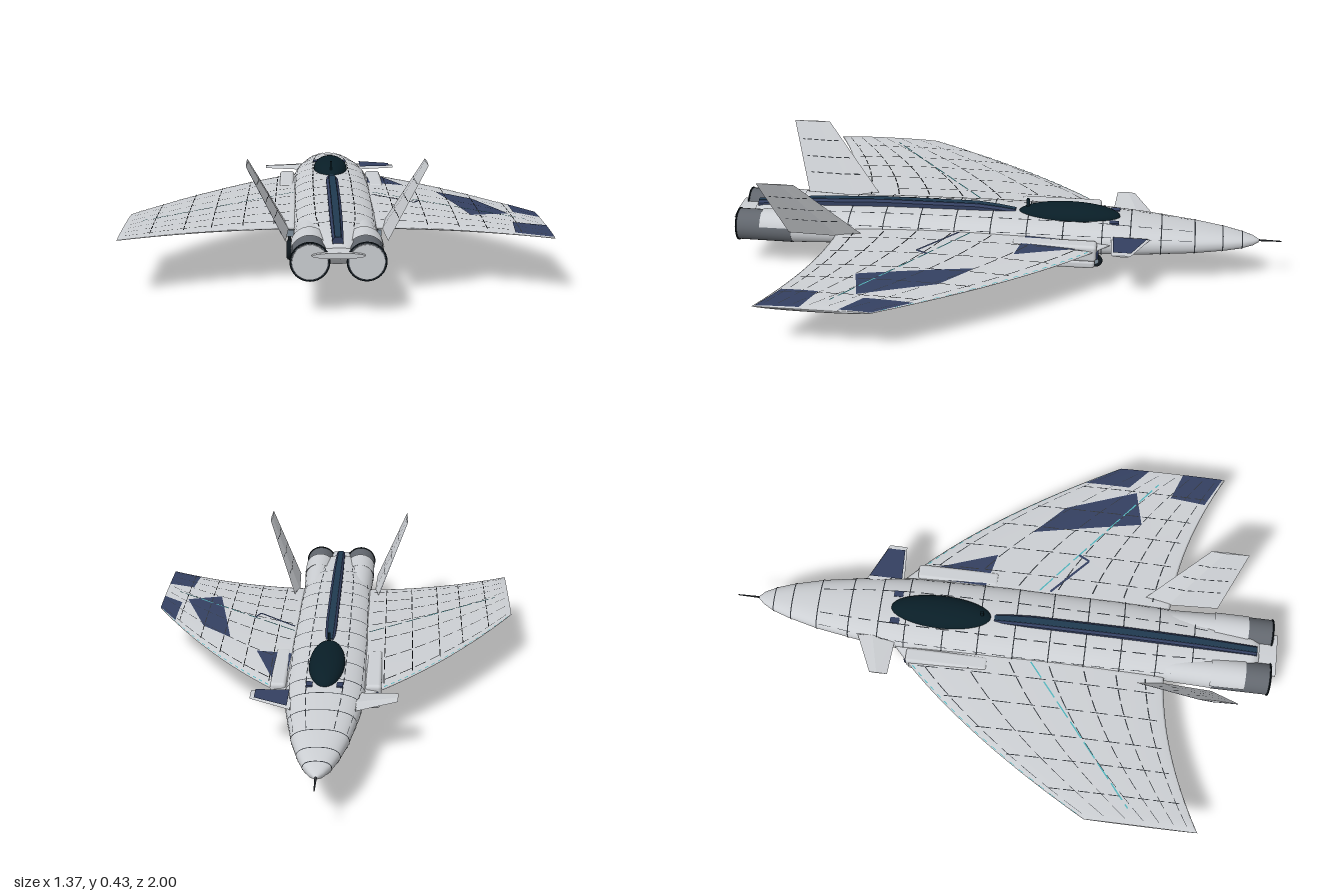
import * as THREE from 'three';
import { mergeGeometries } from 'three/addons/utils/BufferGeometryUtils.js';
import { RoundedBoxGeometry } from 'three/addons/geometries/RoundedBoxGeometry.js';

const V = (x, y, z) => new THREE.Vector3(x, y, z);
const lerp = THREE.MathUtils.lerp;

const mat = (name, color, side = THREE.FrontSide) => {
  const m = new THREE.MeshStandardMaterial({ color, side });
  m.name = name;
  return m;
};

// Skin through equal-length closed loops of points, with both ends capped
function loft(loops, flat = false) {
  const n = loops[0].length, pos = [], idx = [];
  loops.forEach(l => l.forEach(p => pos.push(p.x, p.y, p.z)));
  for (let i = 0; i < loops.length - 1; i++) for (let j = 0; j < n; j++) {
    const a = i * n + j, b = i * n + (j + 1) % n;
    idx.push(a, b, a + n, b, b + n, a + n);
  }
  const last = (loops.length - 1) * n;
  for (let j = 1; j < n - 1; j++) idx.push(0, j + 1, j, last, last + j, last + j + 1);
  let g = new THREE.BufferGeometry();
  g.setAttribute('position', new THREE.Float32BufferAttribute(pos, 3));
  g.setIndex(idx);
  if (flat) g = g.toNonIndexed();
  g.computeVertexNormals();
  return g;
}

// Mirror across x = 0, keeping faces outward
function mirror(geo) {
  const g = geo.index ? geo.toNonIndexed() : geo.clone();
  g.scale(-1, 1, 1);
  for (const a of Object.values(g.attributes)) {
    for (let i = 0; i < a.count; i += 3) for (let k = 0; k < a.itemSize; k++) {
      const t = a.getComponent(i + 1, k);
      a.setComponent(i + 1, k, a.getComponent(i + 2, k));
      a.setComponent(i + 2, k, t);
    }
  }
  return g;
}

// Sheet from f(u, v); skip leaves gaps for dashed lines
function sheet(f, nu, nv = 1, skip = 0) {
  const pos = [];
  for (let i = 0; i < nu; i++) {
    if (skip && i % skip === skip - 1) continue;
    for (let j = 0; j < nv; j++) {
      const q = [[0, 0], [0, 1], [1, 0], [0, 1], [1, 1], [1, 0]];
      q.forEach(([a, b]) => pos.push(...f((i + a) / nu, (j + b) / nv).toArray()));
    }
  }
  const g = new THREE.BufferGeometry();
  g.setAttribute('position', new THREE.Float32BufferAttribute(pos, 3));
  g.computeVertexNormals();
  return g;
}

// Fuselage stations: z, half width, bottom, top
const stations = [
  [-0.92, 0.005, 0.16, 0.171], [-0.9, 0.024, 0.151, 0.181], [-0.86, 0.045, 0.142, 0.19],
  [-0.8, 0.066, 0.135, 0.2], [-0.69, 0.094, 0.127, 0.212], [-0.5, 0.125, 0.118, 0.228],
  [-0.35, 0.138, 0.114, 0.238], [0, 0.145, 0.112, 0.24], [0.4, 0.142, 0.112, 0.235],
  [0.6, 0.135, 0.114, 0.228], [0.78, 0.11, 0.12, 0.22], [0.9, 0.07, 0.14, 0.213], [0.93, 0.04, 0.16, 0.205]];
function hull(z, a, grow = 0) {
  let i = 0;
  while (i < stations.length - 2 && z > stations[i + 1][0]) i++;
  const p = stations[i], q = stations[i + 1], t = (z - p[0]) / (q[0] - p[0]);
  const [w, b, h] = [1, 2, 3].map(k => lerp(p[k], q[k], t));
  const c = Math.cos(a), s = Math.sin(a), pw = v => Math.sign(v) * Math.abs(v) ** 0.85;
  return V((w + grow) * pw(c), (b + h) / 2 + ((h - b) / 2 + grow) * pw(s), z);
}

// Wing planform and skin
const ROOT = 0.1, TIP = 0.685;
const span = x => (x - ROOT) / (TIP - ROOT);
const lead = x => -0.42 + 0.5 * span(x) + 0.28 * span(x) ** 2;
const trail = x => 0.595 + 0.165 * span(x) ** 1.9;
function wingPoint(x, t, up, lift = 0) {
  const bulge = Math.max(0, 4 * t * (1 - t)) ** 0.6, thin = 1 - span(x);
  const y = up ? 0.183 + (0.006 + 0.017 * thin) * bulge : 0.183 - (0.008 + 0.03 * thin) * bulge;
  return V(x, y + lift, lerp(lead(x), trail(x), t));
}
const onWing = (x, z, lift) =>
  wingPoint(x, THREE.MathUtils.clamp((z - lead(x)) / (trail(x) - lead(x)), 0, 1), true, lift);
const wingPatch = ([a, b, c, d]) => sheet((u, v) => {
  const at = k => lerp(lerp(a[k], b[k], u), lerp(d[k], c[k], u), v);
  return onWing(at(0), at(1), 0.002);
}, 12, 12);
const wingLine = (a, b, w, skip) => {
  const d = new THREE.Vector2(a[1] - b[1], b[0] - a[0]).normalize().multiplyScalar(w);
  return sheet((u, v) => onWing(lerp(a[0], b[0], u) + d.x * (v - 0.5), lerp(a[1], b[1], u) + d.y * (v - 0.5), 0.003), 36, 1, skip);
};

export function createModel() {
  const model = new THREE.Group();
  model.name = 'jetAircraft';
  const two = THREE.DoubleSide;
  const grey = mat('lightGrey', 0xcccfd3, two), blue = mat('navyBlue', 0x344061, two);
  const glass = mat('canopyGlass', 0x091e27), steel = mat('nozzleSteel', 0x62676e);
  const lines = mat('panelLine', 0x303439, two), cyan = mat('cyanLine', 0x52b4bc, two);
  const black = mat('tyreBlack', 0x10191f), hub = mat('hubGrey', 0x7f8f9c);
  const deep = mat('deepTeal', 0x203a50);
  const add = (name, geo, m) => {
    const mesh = new THREE.Mesh(geo, m);
    mesh.name = name;
    model.add(mesh);
  };
  const pair = (name, geo, m) => { add(name + 'Left', geo, m); add(name + 'Right', mirror(geo), m); };
  const cyl = (r1, r2, len, x, y, z, seg = 28) =>
    new THREE.CylinderGeometry(r1, r2, len, seg).rotateX(Math.PI / 2).translate(x, y, z);
  const box = (w, h, d, x, y, z) => new THREE.BoxGeometry(w, h, d).translate(x, y, z);

  // Fuselage, nose probe, spine and canopy
  add('fuselage', loft(stations.map(s => Array.from({ length: 40 }, (_, j) => hull(s[0], j / 40 * Math.PI * 2)))), grey);
  add('noseProbe', cyl(0.004, 0.002, 0.09, 0, 0.167, -0.955, 8), lines);
  const spine = [[-0.04, 0.016, 0.243], [0.02, 0.019, 0.252], [0.1, 0.021, 0.26], [0.45, 0.021, 0.258], [0.7, 0.02, 0.246], [0.92, 0.017, 0.226]];
  const spineLoops = (k, low, lift) => spine.map(([z, w, top]) => [V(w * k, low ?? top - 0.002, z), V(w * k, top - 0.008 * (low ? 1 : 0) + lift, z),
    V(w * k * 0.6, top + lift, z), V(-w * k * 0.6, top + lift, z), V(-w * k, top - 0.008 * (low ? 1 : 0) + lift, z), V(-w * k, low ?? top - 0.002, z)]);
  add('spine', loft(spineLoops(1, 0.19, 0), true), blue);
  add('spineStripe', loft(spineLoops(0.55, null, 0.0015), true), deep);
  add('canopy', new THREE.SphereGeometry(1, 32, 20).scale(0.063, 0.041, 0.185).translate(0, 0.233, -0.235), glass);
  add('antenna', box(0.008, 0.035, 0.012, 0, 0.268, -0.085), glass);
  pair('sensorPlate', box(0.022, 0.008, 0.034, 0.052, 0.232, -0.4), blue);

  // Wings
  const wingLoops = Array.from({ length: 15 }, (_, i) => {
    const x = lerp(ROOT, TIP, i / 14), loop = [];
    const ease = k => (1 - Math.cos(k / 16 * Math.PI)) / 2;
    for (let k = 0; k <= 16; k++) loop.push(wingPoint(x, ease(k), true));
    for (let k = 15; k > 0; k--) loop.push(wingPoint(x, ease(k), false));
    return loop;
  });
  pair('wing', loft(wingLoops), grey);

  // Wing panel lines and bright seams
  const seams = [0.2, 0.3, 0.4, 0.487, 0.59].map(x => wingLine([x, lead(x) + 0.03], [x, trail(x) - 0.01], 0.003, 4));
  for (const t of [0.06, 0.24, 0.42, 0.57, 0.7, 0.82, 0.93])
    seams.push(sheet((u, v) => wingPoint(lerp(0.15, 0.68, u), t + (v - 0.5) * 0.005, true, 0.003), 40, 1, 4));
  pair('wingPanelLines', mergeGeometries(seams), lines);
  const leadSeam = sheet((u, v) => wingPoint(lerp(0.2, 0.68, u), 0.012 + (v - 0.5) * 0.006, true, 0.002), 40, 1, 2);
  pair('wingSeam', mergeGeometries([wingLine([0.14, 0.11], [0.63, 0.51], 0.005, 5), leadSeam]), cyan);

  // Painted patches on the left wing only
  [[[0.375, 0.06], [0.49, 0.17], [0.585, 0.43], [0.455, 0.46]],
    [[0.608, 0.235], [0.684, 0.362], [0.684, 0.47], [0.605, 0.4]],
    [[0.58, 0.56], [0.684, 0.6], [0.684, 0.75], [0.57, 0.69]],
    [[0.14, -0.27], [0.19, -0.28], [0.265, -0.06], [0.135, -0.09]]]
    .forEach((q, i) => add('wingPatch' + (i + 1), wingPatch(q), blue));
  add('wingStroke', mergeGeometries([wingLine([0.14, 0.15], [0.28, 0.28], 0.008), wingLine([0.28, 0.28], [0.3, 0.24], 0.008)]), blue);

  // Fuselage panel lines
  const bands = [-0.86, -0.79, -0.69, -0.57, -0.46, -0.36, -0.22, -0.09, 0.04, 0.17, 0.3, 0.43, 0.56, 0.69]
    .map(z => sheet((u, v) => hull(z + (v - 0.5) * 0.004, u * Math.PI * 2, 0.0015), 40));
  for (const a of [0.5, 1.15, Math.PI - 1.15, Math.PI - 0.5])
    bands.push(sheet((u, v) => hull(lerp(-0.68, 0.76, u), a + (v - 0.5) * 0.03, 0.0015), 60, 1, 3));
  add('fuselagePanelLines', mergeGeometries(bands), lines);

  // Canards, the left one painted
  const slab = (root, tip, h) => loft([root, tip].map(([x, y, z0, z1], i) =>
    [V(x, y, z0), V(x, y + h / (1 + i), lerp(z0, z1, 0.4)), V(x, y, z1), V(x, y - h / (1 + i), lerp(z0, z1, 0.4))]), true);
  pair('canard', slab([0.09, 0.2, -0.54, -0.39], [0.25, 0.206, -0.465, -0.4], 0.007), grey);
  add('canardPaint', sheet((u, v) => V(lerp(0.12, 0.235, u), lerp(0.211, 0.2125, u), lerp(lerp(-0.522, -0.468, u), lerp(-0.4, -0.405, u), v)), 4, 4), blue);

  // Outward-leaning tail fins, the right one painted on its outer face
  const finLoop = (x, y, z0, z1, w) => [V(x, y, z0), V(x + w, y, lerp(z0, z1, 0.35)), V(x, y, z1), V(x - w, y, lerp(z0, z1, 0.35))];
  pair('tailFin', loft([finLoop(0.277, 0.43, 0.705, 0.84, 0.003), finLoop(0.16, 0.18, 0.49, 0.77, 0.008)], true), grey);
  const finFace = (k, t, off) => V(lerp(0.16, 0.277, k) + off * lerp(0.008, 0.003, k) * Math.min(t / 0.35, (1 - t) / 0.65) + Math.sign(off) * 0.0012,
    lerp(0.18, 0.43, k), lerp(lerp(0.49, 0.705, k), lerp(0.77, 0.84, k), t));
  add('finPaintRight', mirror(sheet((u, v) => finFace(lerp(0.08, 0.99, u), lerp(0.01, 0.99, v), 1), 4, 20)), blue);
  const finSeams = [0.3, 0.52, 0.75].flatMap(k => [-1, 1].map(s =>
    sheet((u, v) => finFace(k + (v - 0.5) * 0.014, lerp(0.1, 0.9, u), s * 1.2), 16, 1, 3)));
  pair('finPanelLines', mergeGeometries(finSeams), lines);

  // Engines with an upper cowl, steel nozzle and pale exhaust disc
  pair('engineBody', cyl(0.057, 0.05, 0.2, 0.085, 0.165, 0.68), grey);
  pair('engineNozzle', cyl(0.057, 0.058, 0.205, 0.085, 0.165, 0.873), steel);
  const cowl = new THREE.CylinderGeometry(0.0605, 0.0605, 0.125, 24, 1, true, -Math.PI * 0.4, Math.PI * 0.8)
    .rotateX(Math.PI / 2).rotateZ(Math.PI).translate(0.085, 0.165, 0.823);
  pair('engineCowl', cowl, grey);
  pair('nozzleRing', new THREE.TorusGeometry(0.058, 0.003, 6, 32).translate(0.085, 0.165, 0.974), black);
  pair('exhaustDisc', cyl(0.053, 0.053, 0.006, 0.085, 0.165, 0.976), grey);
  add('tailPlate', new THREE.CylinderGeometry(1, 1, 0.25, 28).rotateX(Math.PI / 2).scale(0.08, 0.009, 1).translate(0, 0.187, 0.87), grey);

  // Intake fairings and long underside pods
  pair('underPod', new RoundedBoxGeometry(0.05, 0.032, 0.44, 3, 0.012).translate(0.165, 0.13, -0.12), grey);
  pair('intakeFairing', new RoundedBoxGeometry(0.055, 0.062, 0.3, 3, 0.012).translate(0.165, 0.174, -0.195), grey);
  pair('intakeLip', new RoundedBoxGeometry(0.036, 0.034, 0.02, 2, 0.006).translate(0.165, 0.165, -0.342), blue);

  // Landing gear
  const wheel = (r, w, x, y, z) => new THREE.CylinderGeometry(r, r, w, 24).rotateZ(Math.PI / 2).translate(x, y, z);
  const tyre = (r, w, x, y, z) => new THREE.TorusGeometry(r - w / 2, w / 2, 10, 24).rotateY(Math.PI / 2).translate(x, y, z);
  const strut = (x, z, y0, y1) => new THREE.CylinderGeometry(0.006, 0.006, y1 - y0, 10).translate(x, (y0 + y1) / 2, z);
  pair('mainTyre', tyre(0.036, 0.022, 0.152, 0.038, 0.28), black);
  pair('mainHub', wheel(0.016, 0.018, 0.152, 0.038, 0.28), hub);
  pair('mainStrut', strut(0.152, 0.28, 0.04, 0.16), black);
  pair('mainGearBrace', box(0.032, 0.012, 0.06, 0.152, 0.128, 0.28), deep);
  pair('mainGearDoor', box(0.03, 0.022, 0.008, 0.152, 0.1, 0.295), hub);
  add('noseTyre', tyre(0.026, 0.016, 0, 0.046, -0.335), black);
  add('noseHub', wheel(0.012, 0.013, 0, 0.046, -0.335), hub);
  add('noseStrut', strut(0, -0.335, 0.045, 0.13), black);
  add('noseGearBrace', box(0.02, 0.012, 0.05, 0, 0.105, -0.335), deep);
  return model;
}
